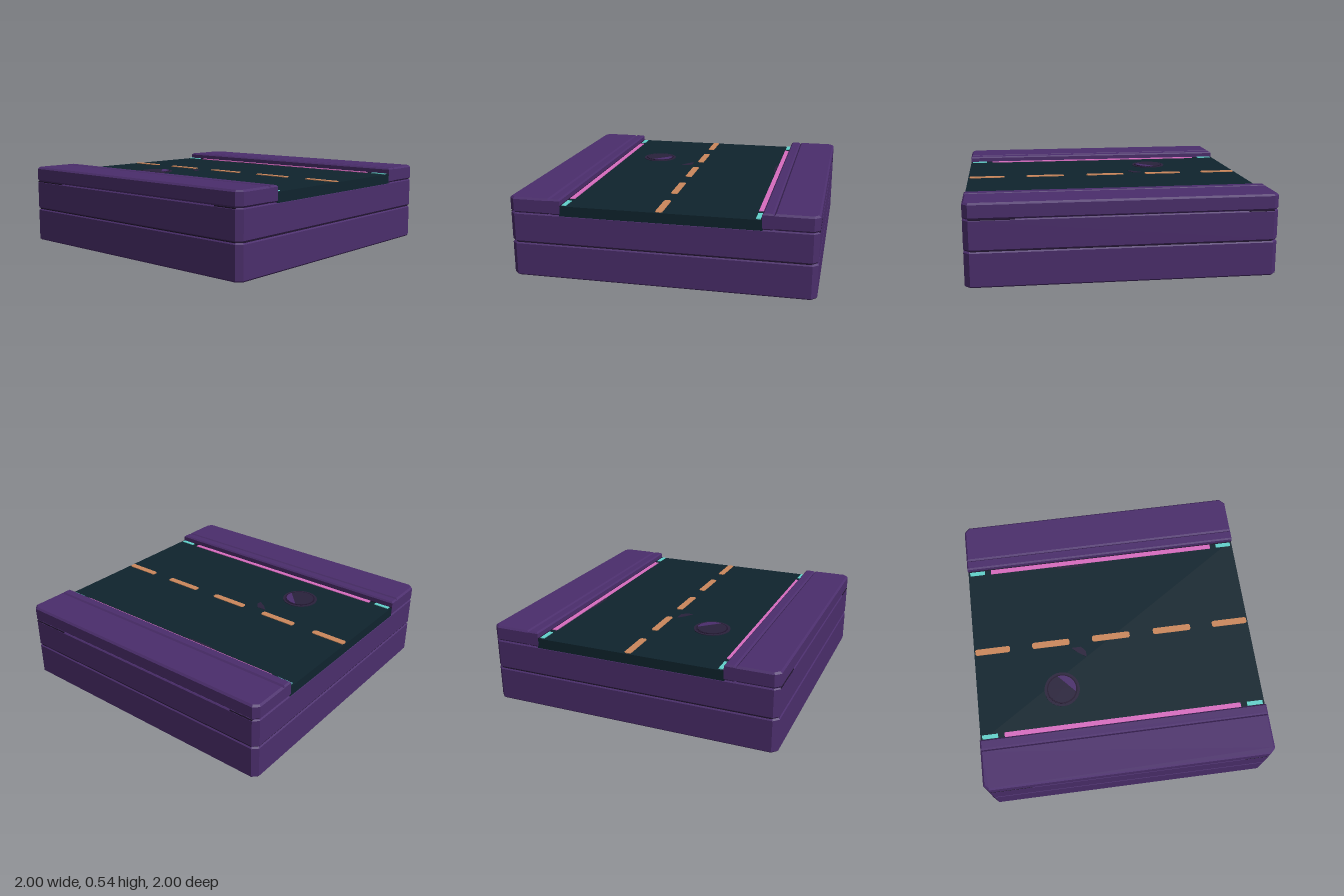
import * as THREE from 'three';

const paint = (name, color) => {
  const m = new THREE.MeshStandardMaterial({ color });
  m.name = name;
  return m;
};

export function createModel() {
  const stone = paint('purple stone', 0x4b2e6c);
  const seam = paint('dark seam', 0x21152f);
  const asphalt = paint('dark asphalt', 0x0f242e);
  const worn = paint('worn iron', 0x29223c);
  const orange = paint('orange paint', 0xcc885c);
  const pink = paint('pink paint', 0xd86cc0);
  const cyan = paint('cyan paint', 0x62d2cc);

  const model = new THREE.Group();
  model.name = 'roadTile';

  const add = (parent, name, geometry, material, x = 0, y = 0, z = 0) => {
    const mesh = new THREE.Mesh(geometry, material);
    mesh.name = name;
    mesh.position.set(x, y, z);
    parent.add(mesh);
    return mesh;
  };
  const box = (parent, name, material, x0, x1, y0, y1, z0, z1) =>
    add(parent, name, new THREE.BoxGeometry(x1 - x0, y1 - y0, z1 - z0), material,
      (x0 + x1) / 2, (y0 + y1) / 2, (z0 + z1) / 2);

  // Slab with a bevelled rim, from a plan outline of [x, z] points
  const slab = (parent, name, material, outline, y0, y1, bevel, hole) => {
    const shape = new THREE.Shape(outline.map(([x, z]) => new THREE.Vector2(x, -z)));
    if (hole) shape.holes.push(hole);
    const geometry = new THREE.ExtrudeGeometry(shape, {
      depth: y1 - y0 - 2 * bevel, bevelEnabled: bevel > 0, bevelThickness: bevel,
      bevelSize: bevel, bevelOffset: -bevel, bevelSegments: 1, curveSegments: 20,
    });
    geometry.rotateX(-Math.PI / 2);
    return add(parent, name, geometry, material, 0, y0 + bevel, 0);
  };
  const octagon = (r, c) => [
    [-r, -r + c], [-r, r - c], [-r + c, r], [r - c, r],
    [r, r - c], [r, -r + c], [r - c, -r], [-r + c, -r],
  ];

  // Foundation: two courses with a dark joint between them
  slab(model, 'lowerCourse', stone, octagon(1, 0.035), 0, 0.233, 0.01);
  slab(model, 'upperCourse', stone, octagon(1, 0.035), 0.238, 0.435, 0.007);
  slab(model, 'courseJoint', seam, octagon(0.992, 0.035), 0.225, 0.246, 0);

  // Road deck
  box(model, 'roadDeck', asphalt, -0.998, 0.998, 0.43, 0.498, -0.655, 0.655);

  // Pavement and kerb on both sides
  for (const side of [1, -1]) {
    const walk = new THREE.Group();
    walk.name = side > 0 ? 'frontPavement' : 'backPavement';
    if (side < 0) walk.rotation.y = Math.PI;
    model.add(walk);
    slab(walk, 'pavement', stone,
      [[-1, 0.722], [-1, 0.965], [-0.965, 1], [0.965, 1], [1, 0.965], [1, 0.722]],
      0.435, 0.54, 0.012);
    slab(walk, 'kerb', stone,
      [[-1, 0.65], [-1, 0.722], [1, 0.722], [1, 0.65]], 0.435, 0.54, 0.01);
    // Dark gutter at the foot of the kerb
    box(walk, 'gutter', seam, -0.998, 0.998, 0.498, 0.501, 0.643, 0.655);
    // Edge line with short end marks
    box(walk, 'edgeLine', pink, -0.83, 0.83, 0.497, 0.503, 0.609, 0.642);
    for (const s of [-1, 1]) {
      const a = s * 0.875, b = s * 0.985;
      box(walk, 'endMark', cyan, Math.min(a, b), Math.max(a, b), 0.497, 0.503, 0.611, 0.64);
    }
    // Cracks in the outer face
    box(walk, 'crack', seam, -0.965, -0.68, 0.431, 0.438, 0.994, 1);
    box(walk, 'crack', seam, 0.8, 0.965, 0.431, 0.438, 0.994, 1);
  }

  // Dashed centre line
  for (const [a, b] of [[-0.99, -0.74], [-0.58, -0.31], [-0.145, 0.13], [0.3, 0.575], [0.735, 0.99]]) {
    const t = 0.023, c = 0.01;
    slab(model, 'centreDash', orange,
      [[a, -t + c], [a, t - c], [a + c, t], [b - c, t], [b, t - c], [b, -t + c], [b - c, -t], [a + c, -t]],
      0.497, 0.503, 0);
  }

  // Manhole: rim, dark joint, lid and its bright segment
  const manhole = new THREE.Group();
  manhole.name = 'manhole';
  manhole.position.set(-0.4, 0, 0.35);
  model.add(manhole);
  const disc = (name, r, top, material) =>
    add(manhole, name, new THREE.CylinderGeometry(r, r, 0.008, 28), material, 0, top - 0.004, 0);
  disc('rim', 0.125, 0.502, worn);
  disc('joint', 0.108, 0.504, seam);
  disc('lid', 0.099, 0.506, worn);
  const arc = [];
  for (let i = 0; i <= 10; i++) {
    const t = -0.3 + (2.1 * i) / 10;
    arc.push([0.099 * Math.cos(t), -0.099 * Math.sin(t)]);
  }
  slab(manhole, 'lidSegment', stone, arc, 0.504, 0.508, 0);

  // Worn patches in the asphalt
  slab(model, 'wornPatch', worn,
    [[-0.3, 0.05], [-0.26, 0.09], [-0.2, 0.13], [-0.2, 0.09], [-0.23, 0.05]], 0.497, 0.5, 0);
  slab(model, 'wornPatch', worn,
    [[-0.38, -0.605], [-0.3, -0.588], [-0.16, -0.59], [-0.1, -0.605]], 0.497, 0.5, 0);

  return model;
}
